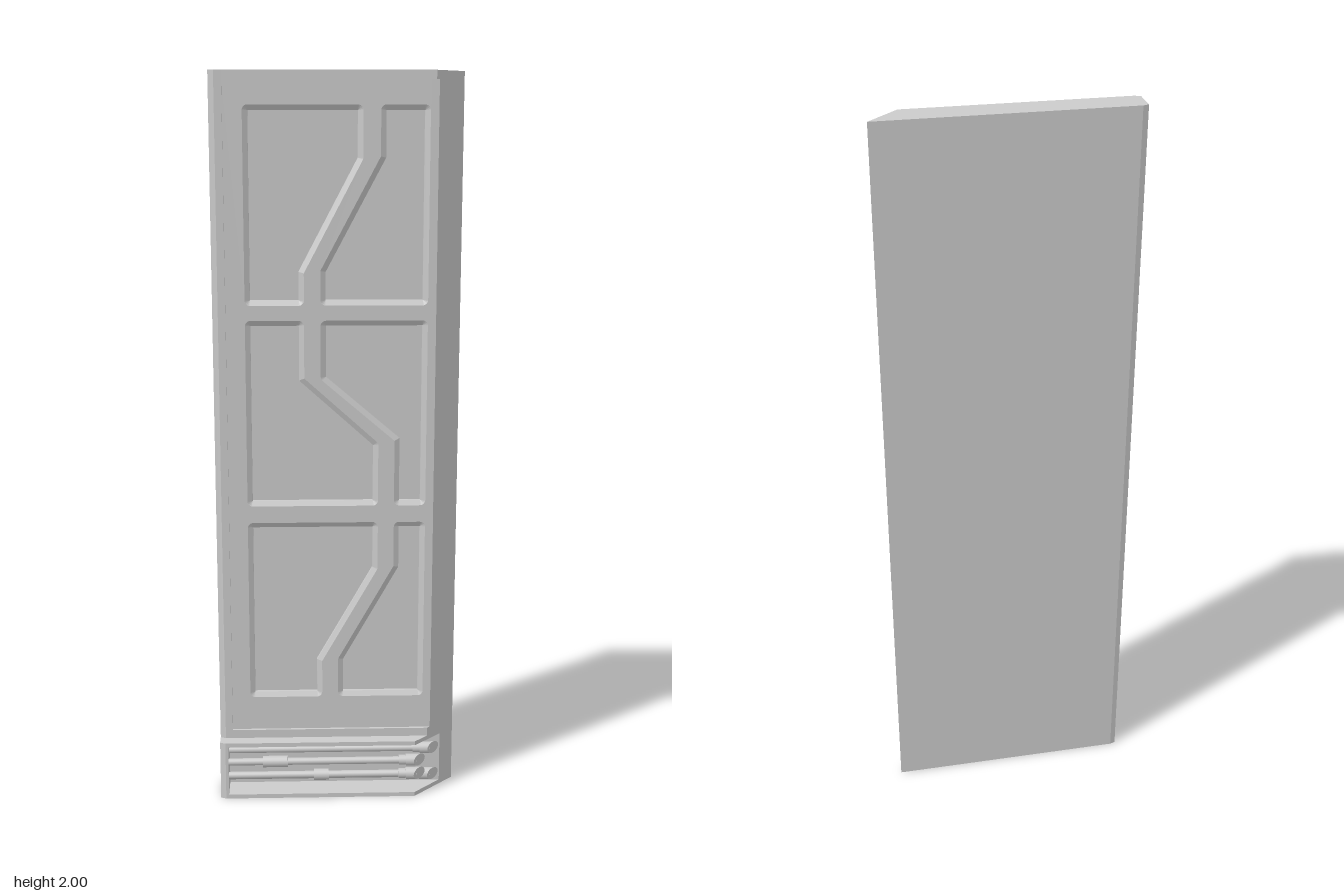
import * as THREE from 'three';

const MITRE = 0.272;          // right side is cut along x + z = MITRE
const FLOOR = -0.004, FACE = 0.012, LIP = 0.02, FRONT = 0.057, BACK = -0.06;
const BASE_TOP = 0.168;
const material = new THREE.MeshStandardMaterial({ color: 0xcccccc });

function add(parent, name, geometry) {
  const mesh = new THREE.Mesh(geometry, material);
  mesh.name = name;
  parent.add(mesh);
  return mesh;
}

// Upright prism from an (x, z) section
function slab(section, y0, y1) {
  const shape = new THREE.Shape(section.map(([x, z]) => new THREE.Vector2(x, -z)));
  const geometry = new THREE.ExtrudeGeometry(shape, { depth: y1 - y0, bevelEnabled: false });
  return geometry.rotateX(-Math.PI / 2).translate(0, y0, 0);
}

// Rounded outward offset of a counter-clockwise outline, paired with its source corners
function offsetOutline(points, r) {
  const outer = [], inner = [];
  const n = points.length;
  points.forEach((p, i) => {
    const d0 = p.clone().sub(points[(i + n - 1) % n]).normalize();
    const d1 = points[(i + 1) % n].clone().sub(p).normalize();
    const n0 = new THREE.Vector2(d0.y, -d0.x), n1 = new THREE.Vector2(d1.y, -d1.x);
    if (d0.cross(d1) > 0) {
      for (let k = 0; k <= 5; k++) {
        outer.push(n0.clone().lerp(n1, k / 5).setLength(r).add(p));
        inner.push(p);
      }
    } else {
      outer.push(n0.clone().add(n1).multiplyScalar(r / (1 + n0.dot(n1))).add(p));
      inner.push(p);
    }
  });
  return { outer, inner };
}

// Sloped edge then a straight wall down to the pane floor
function paneWalls({ outer, inner }) {
  const rings = [[outer, FACE], [inner, 0.005], [inner, FLOOR]];
  const pos = [];
  for (let k = 0; k < 2; k++) {
    const [a, za] = rings[k], [b, zb] = rings[k + 1];
    a.forEach((p, i) => {
      const j = (i + 1) % a.length, q = a[j], s = b[i], t = b[j];
      pos.push(p.x, p.y, za, q.x, q.y, za, t.x, t.y, zb);
      pos.push(p.x, p.y, za, t.x, t.y, zb, s.x, s.y, zb);
    });
  }
  const geometry = new THREE.BufferGeometry();
  geometry.setAttribute('position', new THREE.Float32BufferAttribute(pos, 3));
  geometry.computeVertexNormals();
  return geometry;
}

// Horizontal rod; its right end may be cut to the mitre
function rod(r, x0, x1, y, z, mitred) {
  const geometry = new THREE.CylinderGeometry(r, r, x1 - x0, 20);
  geometry.rotateZ(-Math.PI / 2).translate((x0 + x1) / 2, y, z);
  if (mitred) {
    const p = geometry.attributes.position;
    for (let i = 0; i < p.count; i++) {
      if (p.getX(i) > (x0 + x1) / 2) p.setX(i, MITRE - 0.001 - p.getZ(i));
    }
  }
  return geometry;
}

export function createModel() {
  const model = new THREE.Group();
  model.name = 'wallPanel';

  // Main slab and the thinner backing behind the trough
  const coreSection = (z) => [[-0.335, -0.055], [-0.32, BACK], [MITRE - BACK, BACK], [MITRE - z, z], [-0.335, z]];
  add(model, 'wallSlab', slab(coreSection(FLOOR), BASE_TOP, 2));
  add(model, 'baseBacking', slab(coreSection(-0.02), 0, BASE_TOP));

  // Raised border on the left, top and bottom
  const border = new THREE.Group();
  border.name = 'border';
  model.add(border);
  add(border, 'leftBorder', slab(
    [[-0.335, FLOOR], [-0.3, FLOOR], [-0.3, LIP], [-0.32, LIP], [-0.335, 0.013]], BASE_TOP, 2));
  const railSection = [[-0.3, FLOOR], [MITRE - FLOOR, FLOOR], [MITRE - LIP, LIP], [-0.3, LIP]];
  add(border, 'bottomBorder', slab(railSection, BASE_TOP, 0.192));
  add(border, 'topBorder', slab(railSection, 1.977, 2));
  add(model, 'mitredEdge', slab(
    [[0.24, FLOOR], [MITRE - FLOOR, FLOOR], [MITRE - FACE, FACE], [0.24, FACE]], 0.192, 1.977));

  // Sunken panes on either side of a zigzag channel
  const L = -0.235, R = 0.224;
  const panes = [
    [[L, 1.9], [0.05, 1.9], [0.05, 1.78], [-0.106, 1.485], [-0.106, 1.41], [L, 1.41]],
    [[0.124, 1.9], [R, 1.9], [R, 1.41], [-0.034, 1.41], [-0.034, 1.485], [0.124, 1.78]],
    [[L, 1.342], [-0.106, 1.342], [-0.106, 1.194], [0.094, 1.015], [0.094, 0.86], [L, 0.86]],
    [[-0.034, 1.342], [R, 1.342], [R, 0.86], [0.166, 0.86], [0.166, 1.034], [-0.034, 1.204]],
    [[L, 0.785], [0.094, 0.785], [0.094, 0.668], [-0.06, 0.398], [-0.06, 0.302], [L, 0.302]],
    [[0.166, 0.785], [R, 0.785], [R, 0.302], [0.013, 0.302], [0.013, 0.398], [0.166, 0.668]],
  ];
  const face = new THREE.Shape([[-0.3, 0.192], [0.24, 0.192], [0.24, 1.977], [-0.3, 1.977]]
    .map(([x, y]) => new THREE.Vector2(x, y)));
  panes.forEach((corners) => {
    const points = corners.map(([x, y]) => new THREE.Vector2(x, y));
    if (THREE.ShapeUtils.isClockWise(points)) points.reverse();
    const outline = offsetOutline(points, 0.014);
    face.holes.push(new THREE.Path(outline.outer));
    add(model, 'paneEdge', paneWalls(outline));
  });
  add(model, 'panelFace', new THREE.ShapeGeometry(face).translate(0, 0, FACE));

  // Open trough along the foot
  const trough = new THREE.Group();
  trough.name = 'trough';
  model.add(trough);
  const shelf = [[-0.335, -0.02], [MITRE + 0.02, -0.02], [MITRE - FRONT, FRONT], [-0.32, FRONT], [-0.335, 0.05]];
  add(trough, 'troughFloor', slab(shelf, 0, 0.012));
  add(trough, 'troughTop', slab(shelf, 0.156, BASE_TOP));
  add(trough, 'troughEnd', slab(
    [[-0.335, -0.02], [-0.312, -0.02], [-0.312, FRONT], [-0.32, FRONT], [-0.335, 0.05]], 0.012, 0.156));

  // Pipes with end sleeves and joint collars: [y, z, collar x]
  const pipes = new THREE.Group();
  pipes.name = 'pipes';
  model.add(pipes);
  for (const [y, z, joint] of [[0.105, 0.042, -0.18], [0.064, 0.042, -0.05], [0.123, 0, null], [0.042, 0, null]]) {
    const end = MITRE - z;
    add(pipes, 'pipe', rod(0.01, -0.312, end - 0.01, y, z, false));
    add(pipes, 'endSleeve', rod(0.017, end - 0.04, end, y, z, true));
    add(pipes, 'sleeveRing', rod(0.014, end - 0.06, end - 0.035, y, z, false));
    if (joint !== null) {
      const half = joint < -0.1 ? 0.035 : 0.021;
      add(pipes, 'jointCollar', rod(0.016, joint - half, joint + half, y, z, false));
    }
  }
  // Short flat conduit under the trough top
  add(pipes, 'conduit', new THREE.BoxGeometry(0.2, 0.013, 0.02).translate(0.165, 0.146, -0.01));

  return model;
}
